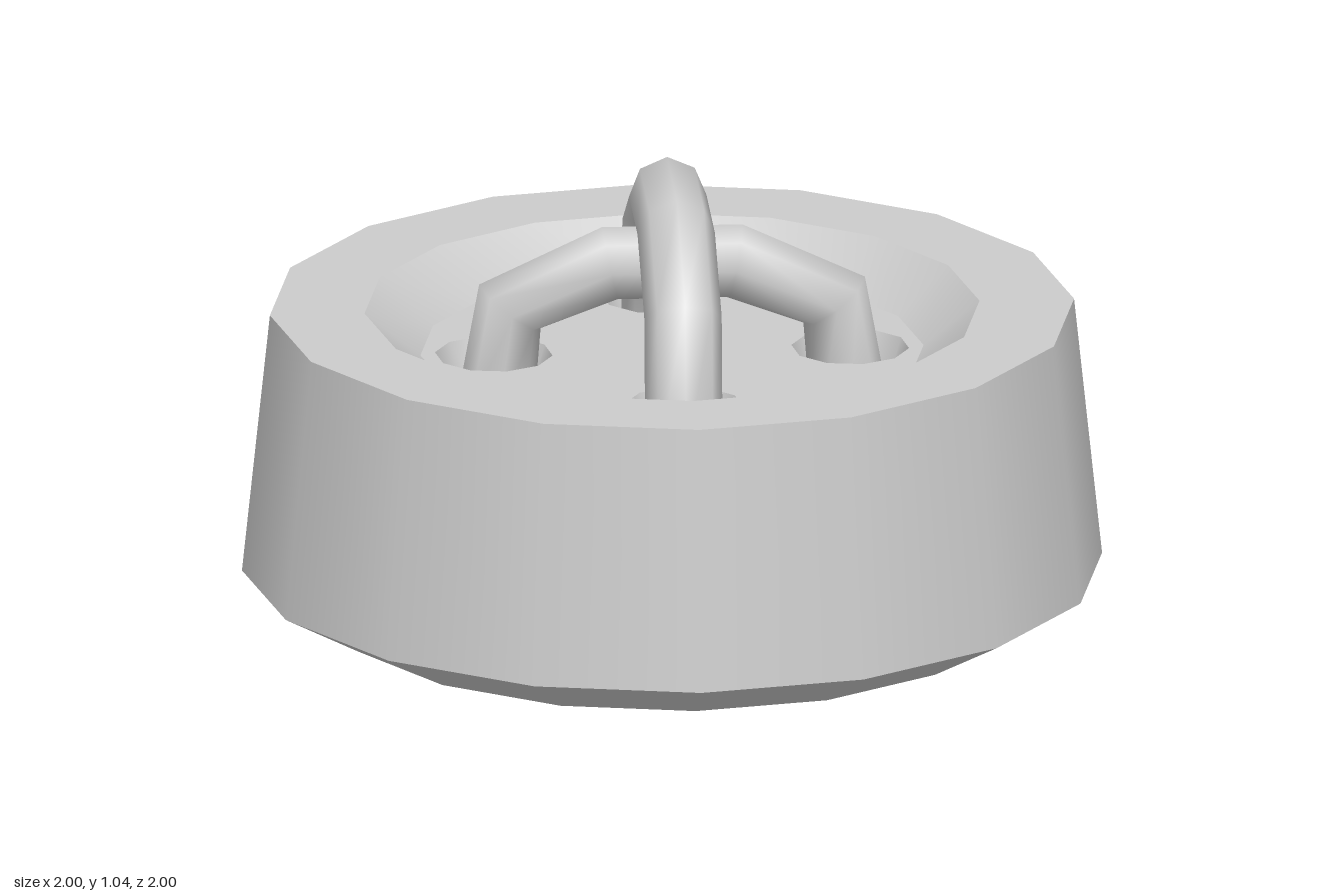
import * as THREE from 'three';
import { toCreasedNormals } from 'three/addons/utils/BufferGeometryUtils.js';

const SIDES = 16;
const FLOOR_Y = 0.62;
const FLOOR_R = 0.585;
const HOLE_R = 0.137;
const HOLE_OFFSET = 0.293;
const HOLE_DEPTH = 0.14;
const HOLE_SIDES = 10;

// Polyline path whose tube rings sit exactly on the corner points
class CornerPath extends THREE.Curve {
  constructor(points) {
    super();
    this.points = points;
  }
  index(t) {
    return Math.round(t * (this.points.length - 1));
  }
  getPoint(t, target = new THREE.Vector3()) {
    return target.copy(this.points[this.index(t)]);
  }
  getPointAt(t, target) {
    return this.getPoint(t, target);
  }
  getTangentAt(t, target = new THREE.Vector3()) {
    const i = this.index(t), p = this.points, last = p.length - 1;
    target.set(0, 0, 0);
    if (i > 0) target.add(p[i].clone().sub(p[i - 1]).normalize());
    if (i < last) target.add(p[i + 1].clone().sub(p[i]).normalize());
    return target.normalize();
  }
}

// Polygon on the ground plane, as shape points (shape y is -z)
function ring(cx, cz, r, sides) {
  return Array.from({ length: sides }, (_, i) => {
    const a = (i / sides) * Math.PI * 2;
    return new THREE.Vector2(cx + r * Math.sin(a), -(cz + r * Math.cos(a)));
  });
}

export function createModel() {
  const group = new THREE.Group();
  group.name = 'sewnButton';
  const grey = new THREE.MeshStandardMaterial({ color: 0xcccccc });
  const faceted = new THREE.MeshStandardMaterial({ color: 0xcccccc, flatShading: true });
  const inside = new THREE.MeshStandardMaterial({ color: 0xcccccc, side: THREE.BackSide });

  const add = (name, geometry, material = grey) => {
    const mesh = new THREE.Mesh(geometry, material);
    mesh.name = name;
    group.add(mesh);
    return mesh;
  };
  const lathe = (profile) =>
    new THREE.LatheGeometry(profile.map(([r, y]) => new THREE.Vector2(r, y)), SIDES);

  // Underside with its faceted chamfer
  add('base', lathe([[0, 0], [0.81, 0], [1, 0.105]]), faceted);

  // Outer wall, flat rim and sloping inner wall
  add('outerWall', lathe([[1, 0.105], [0.935, 0.725]]));
  add('rim', lathe([[0.935, 0.725], [0.715, 0.725]]));
  add('innerWall', toCreasedNormals(lathe([[0.715, 0.725], [FLOOR_R, FLOOR_Y]]), Math.PI / 6));

  // Recessed floor pierced by four holes
  const corners = [[1, 1], [1, -1], [-1, 1], [-1, -1]].map(([x, z]) => [x * HOLE_OFFSET, z * HOLE_OFFSET]);
  const floorShape = new THREE.Shape(ring(0, 0, FLOOR_R, SIDES));
  for (const [x, z] of corners) floorShape.holes.push(new THREE.Path(ring(x, z, HOLE_R, HOLE_SIDES)));
  const floor = add('floor', new THREE.ShapeGeometry(floorShape));
  floor.rotation.x = -Math.PI / 2;
  floor.position.y = FLOOR_Y;

  // Tapered walls and bottoms of the holes
  for (const [x, z] of corners) {
    const wall = add('holeWall',
      new THREE.CylinderGeometry(HOLE_R, 0.09, HOLE_DEPTH, HOLE_SIDES, 1, true), inside);
    wall.position.set(x, FLOOR_Y - HOLE_DEPTH / 2, z);
    const bottom = add('holeBottom', new THREE.CircleGeometry(0.1, HOLE_SIDES));
    bottom.rotation.x = -Math.PI / 2;
    bottom.position.set(x, FLOOR_Y - HOLE_DEPTH + 0.01, z);
  }

  // Two crossing thread arches: [distance from centre, height]
  const thread = (name, half, angle) => {
    const all = [...half.map(([d, y]) => [-d, y]), ...[...half].reverse()];
    const path = new CornerPath(all.map(([d, y]) => new THREE.Vector3(d, y, 0)));
    add(name, new THREE.TubeGeometry(path, all.length - 1, 0.09, 8)).rotation.y = angle;
  };
  thread('upperThread', [[0.41, 0.5], [0.377, 0.82], [0.145, 0.95]], Math.PI / 4);
  thread('lowerThread', [[0.41, 0.5], [0.377, 0.735], [0.145, 0.835]], -Math.PI / 4);

  return group;
}
